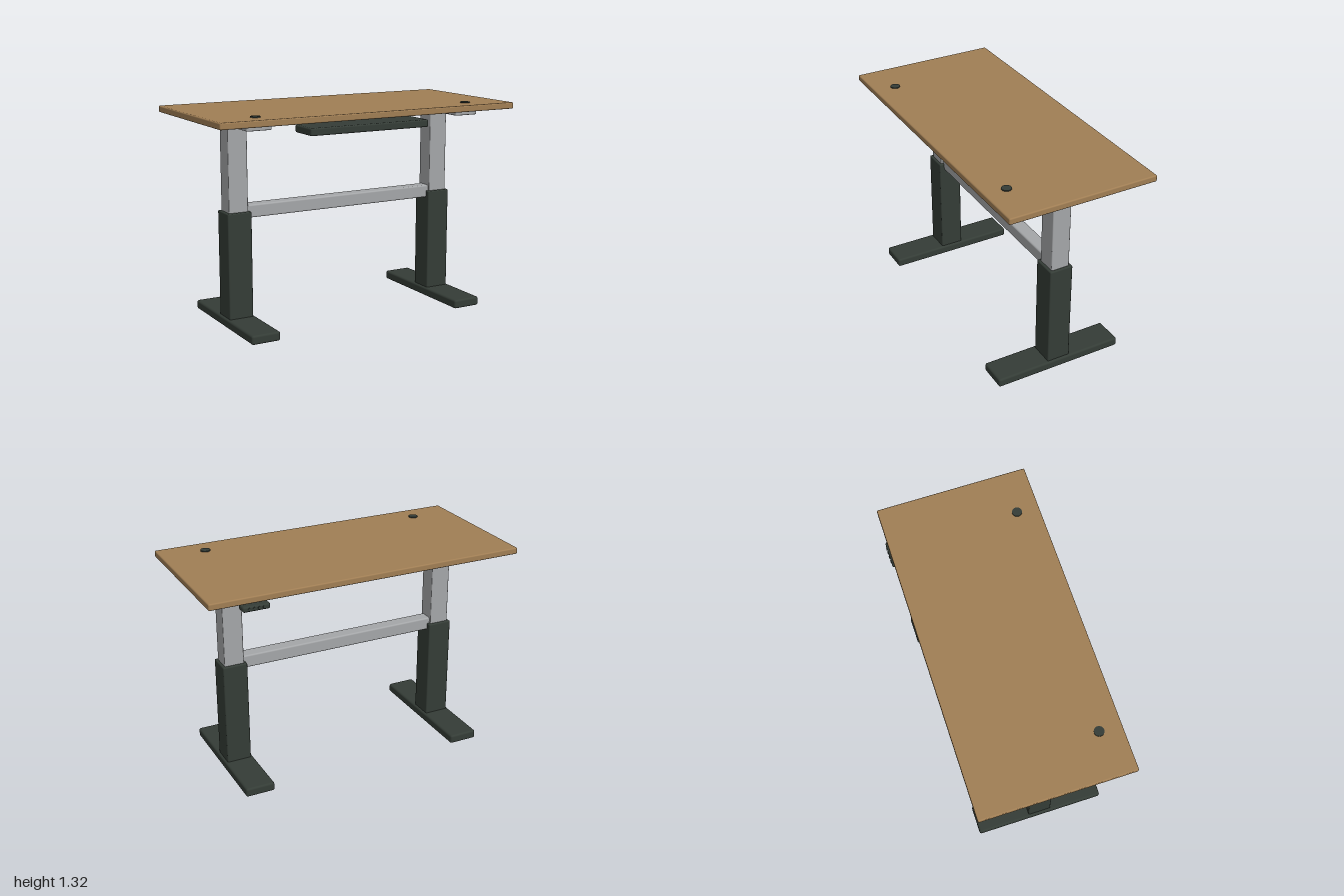
import * as THREE from 'three';
import { RoundedBoxGeometry } from 'three/addons/geometries/RoundedBoxGeometry.js';

const material = (name, color) => {
  const m = new THREE.MeshStandardMaterial({ color });
  m.name = name;
  return m;
};

export function createModel() {
  const wood = material('oak', 0xa07e54);
  const dark = material('dark green metal', 0x343c36);
  const steel = material('light grey metal', 0xa4a6a8);

  const desk = new THREE.Group();
  desk.name = 'standingDesk';

  // Softly bevelled box given by its extents on each axis
  function box(parent, name, mat, [x0, x1], [y0, y1], [z0, z1], radius) {
    const mesh = new THREE.Mesh(new RoundedBoxGeometry(x1 - x0, y1 - y0, z1 - z0, 2, radius), mat);
    mesh.position.set((x0 + x1) / 2, (y0 + y1) / 2, (z0 + z1) / 2);
    mesh.name = name;
    parent.add(mesh);
    return mesh;
  }

  box(desk, 'tabletop', wood, [-1, 1], [1.27, 1.31], [-0.461, 0.475], 0.008);

  // Two telescopic legs with feet, top brackets and cable grommets
  for (const side of [-1, 1]) {
    const leg = new THREE.Group();
    leg.name = side < 0 ? 'rightLeg' : 'leftLeg';
    leg.position.x = side * 0.714;
    desk.add(leg);

    box(leg, 'foot', dark, [-0.092, 0.092], [0, 0.056], [-0.41, 0.424], 0.013);
    box(leg, 'lowerColumn', dark, [-0.078, 0.078], [0.04, 0.708], [-0.068, 0.082], 0.008);
    box(leg, 'upperColumn', steel, [-0.062, 0.062], [0.6, 1.242], [-0.052, 0.066], 0.006);
    box(leg, 'topBracket', steel, [-0.079, 0.079], [1.235, 1.262], [-0.354, 0.369], 0.007);

    const grommet = new THREE.Mesh(new THREE.CylinderGeometry(0.03, 0.03, 0.012, 32), dark);
    grommet.name = 'cableGrommet';
    grommet.position.set(side * 0.724, 1.31, 0.338);
    desk.add(grommet);
  }

  box(desk, 'crossBeam', steel, [-0.66, 0.66], [0.664, 0.744], [-0.036, 0.051], 0.01);
  box(desk, 'cableTray', dark, [-0.406, 0.406], [1.186, 1.232], [0.207, 0.407], 0.01);

  // Height controller under the rear edge, with a row of buttons
  const controller = new THREE.Group();
  controller.name = 'heightController';
  desk.add(controller);
  box(controller, 'controllerBody', dark, [0.641, 0.806], [1.224, 1.258], [-0.47, -0.4], 0.012);
  for (let i = 0; i < 4; i++) {
    const button = new THREE.Mesh(new THREE.CylinderGeometry(0.009, 0.009, 0.008, 20), dark);
    button.name = 'controllerButton';
    button.rotation.x = Math.PI / 2;
    button.position.set(0.679 + i * 0.03, 1.241, -0.4695);
    controller.add(button);
  }

  return desk;
}
